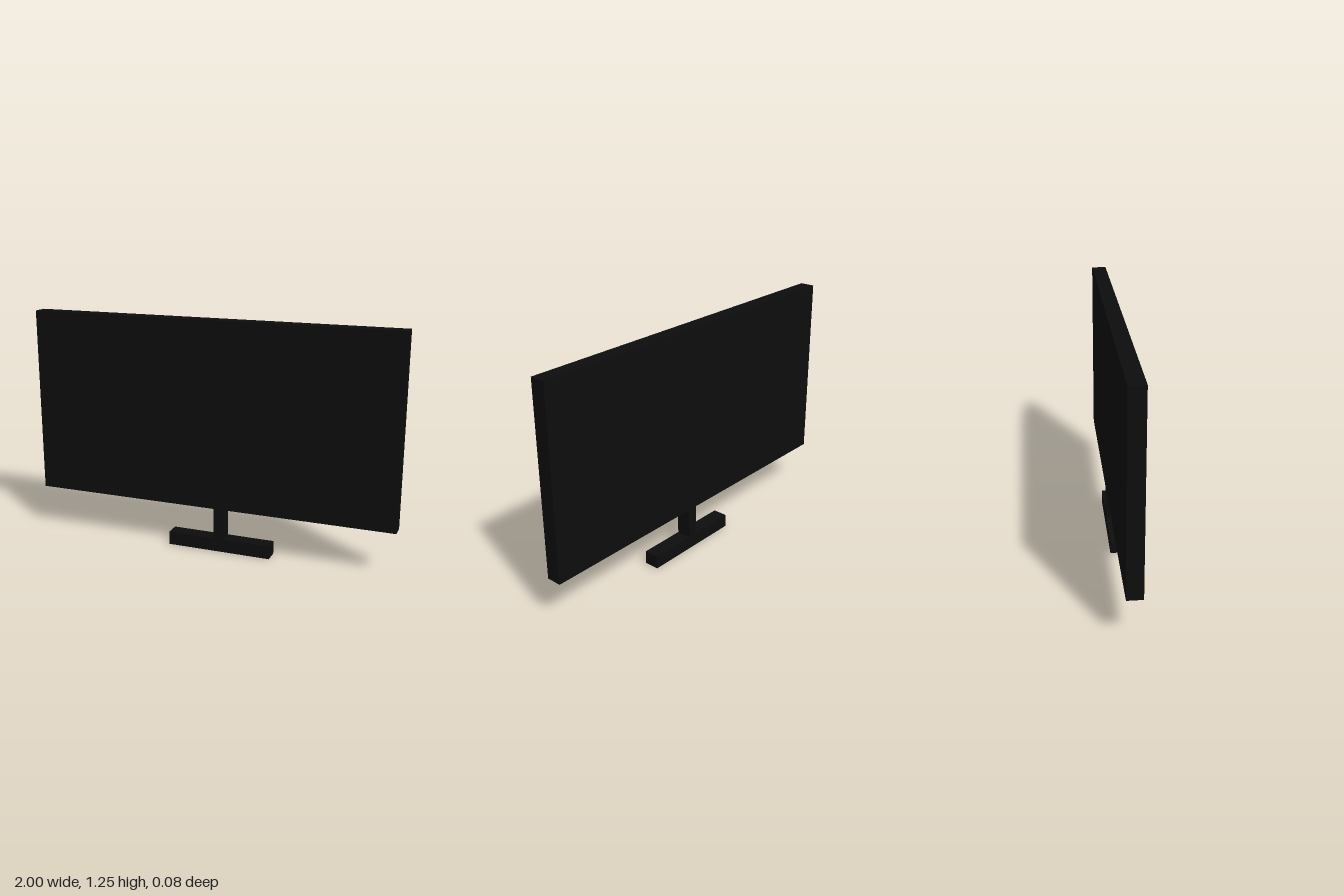
import * as THREE from 'three';

export function createModel() {
  const model = new THREE.Group();
  const black = new THREE.MeshStandardMaterial({ color: 0x0d0d0d });
  black.name = 'black';
  const depth = 0.08;

  // Box spanning the given x and y limits at the shared depth
  function slab(name, x0, x1, y0, y1) {
    const mesh = new THREE.Mesh(new THREE.BoxGeometry(x1 - x0, y1 - y0, depth), black);
    mesh.name = name;
    mesh.position.set((x0 + x1) / 2, (y0 + y1) / 2, 0);
    model.add(mesh);
  }

  slab('screen', -1, 1, 0.24, 1.245);
  // The stand sits slightly off centre
  slab('neck', 0.033, 0.088, 0.072, 0.24);
  slab('base', -0.226, 0.346, 0, 0.072);

  return model;
}
